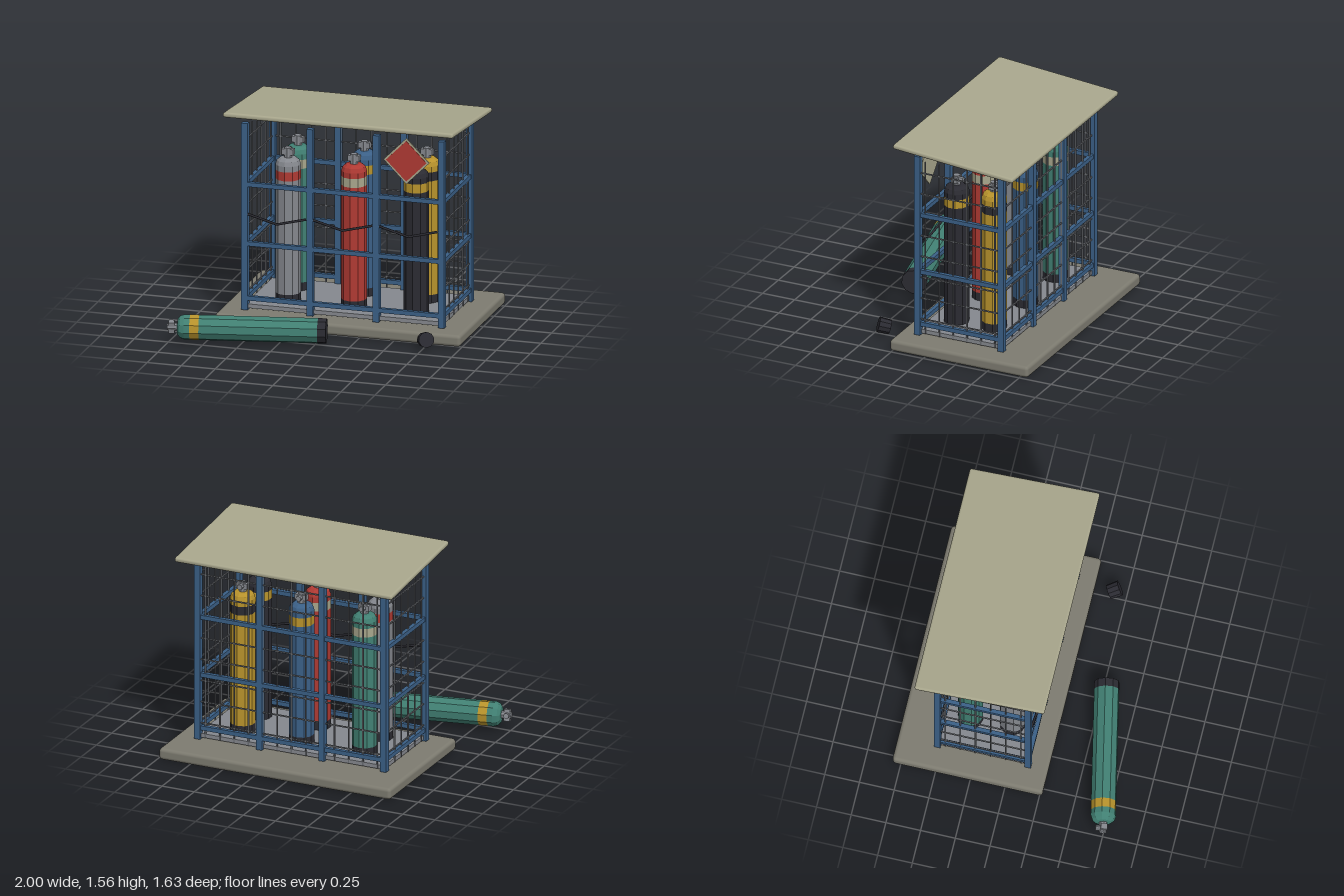
import * as THREE from 'three';
import { RoundedBoxGeometry } from 'three/addons/geometries/RoundedBoxGeometry.js';

const mat = (name, color) => Object.assign(new THREE.MeshStandardMaterial({ color }), { name });

export function createModel() {
  const M = {
    beige: mat('beige paint', 0xa8a68c),
    concrete: mat('concrete', 0x7d7b70),
    blue: mat('blue paint', 0x3b6087),
    steel: mat('steel grey', 0x85888e),
    wire: mat('wire grey', 0x6a6d72),
    green: mat('green paint', 0x418073),
    red: mat('red paint', 0xb03a33),
    black: mat('black', 0x2b2b32),
    yellow: mat('yellow paint', 0xb8932c),
  };
  const root = new THREE.Group();
  root.name = 'gasBottleCage';

  const add = (parent, name, geo, material, x = 0, y = 0, z = 0) => {
    const m = new THREE.Mesh(geo, material);
    m.name = name;
    m.position.set(x, y, z);
    parent.add(m);
    return m;
  };
  const box = (parent, name, material, w, h, d, x, y, z) =>
    add(parent, name, new THREE.BoxGeometry(w, h, d), material, x, y, z);
  const faceted = (geo) => {
    const g = geo.toNonIndexed();
    g.computeVertexNormals();
    return g;
  };

  // Slab, floor plate and sloping roof
  add(root, 'baseSlab', new RoundedBoxGeometry(1.8, 0.085, 1.08, 2, 0.025), M.concrete, 0.09, 0.0425, -0.27);
  box(root, 'floorPlate', M.steel, 1.445, 0.03, 0.655, 0.0925, 0.115, -0.198);
  const roof = add(root, 'roof', new RoundedBoxGeometry(1.69, 0.037, 0.94, 2, 0.016), M.beige, 0.092, 1.505, -0.197);
  roof.rotation.x = -0.09;

  // Cage frame
  const frame = new THREE.Group();
  frame.name = 'cageFrame';
  root.add(frame);
  const postX = [-0.63, -0.15, 0.335, 0.815];
  const zFront = 0.128, zBack = -0.524;
  const midX = 0.0925, midZ = (zFront + zBack) / 2;
  for (const x of postX) {
    box(frame, 'frontPost', M.blue, 0.045, 1.37, 0.045, x, 0.775, zFront);
    box(frame, 'backPost', M.blue, 0.045, 1.36, 0.045, x, 0.77, zBack);
  }
  for (const y of [0.175, 0.575, 1.01]) {
    for (const z of [zFront, zBack]) box(frame, 'longRail', M.blue, 1.445, 0.032, 0.03, midX, y, z);
    for (const x of [postX[0], postX[3]]) box(frame, 'sideRail', M.blue, 0.03, 0.032, 0.652, x, y, midZ);
  }

  // Wire mesh on the back and both sides
  const mesh = new THREE.Group();
  mesh.name = 'wireMesh';
  root.add(mesh);
  const t = 0.009;
  for (let i = 0; i < 13; i++)
    box(mesh, 'backWire', M.wire, t, 1.32, t, -0.63 + (i + 0.5) * 1.445 / 13, 0.76, zBack);
  for (let i = 0; i < 6; i++)
    for (const x of [postX[0], postX[3]])
      box(mesh, 'sideWire', M.wire, t, 1.32, t, x, 0.76, zFront - (i + 0.5) * 0.652 / 6);
  for (let i = 0; i < 8; i++) {
    const y = 0.21 + i * 0.16;
    box(mesh, 'backCrossWire', M.wire, 1.445, t, t, midX, y, zBack);
    for (const x of [postX[0], postX[3]]) box(mesh, 'sideCrossWire', M.wire, t, t, 0.652, x, y, midZ);
  }

  // Gas bottle standing on its own origin, 1.12 tall
  const R = 0.09;
  const bottle = (name, body, band) => {
    const g = new THREE.Group();
    g.name = name;
    const ring = (part, material, pts) =>
      add(g, part, faceted(new THREE.LatheGeometry(pts.map(p => new THREE.Vector2(...p)), 10)), material);
    ring('foot', M.black, [[0, 0], [R, 0], [R, 0.06]]);
    ring('body', body, [[R, 0.06], [R, 0.895]]);
    ring('band', band, [[R, 0.895], [R, 0.96]]);
    ring('shoulder', body, [[R, 0.96], [R, 1.0], [0.08, 1.03], [0.058, 1.047], [0, 1.053]]);
    add(g, 'valveStem', faceted(new THREE.CylinderGeometry(0.027, 0.03, 0.08, 8)), M.steel, 0, 1.08, 0);
    box(g, 'valveBody', M.steel, 0.085, 0.042, 0.045, 0, 1.09, 0);
    const outlet = add(g, 'valveOutlet', faceted(new THREE.CylinderGeometry(0.02, 0.02, 0.055, 8)), M.steel, 0, 1.092, -0.027);
    outlet.rotation.x = Math.PI / 2;
    root.add(g);
    return g;
  };
  const standing = [
    ['greyBottle', M.steel, M.red, -0.37, -0.048],
    ['redBottle', M.red, M.beige, 0.115, -0.043],
    ['blackBottle', M.black, M.yellow, 0.57, -0.05],
    ['greenBottle', M.green, M.beige, -0.39, -0.345],
    ['blueBottle', M.blue, M.yellow, 0.095, -0.355],
    ['yellowBottle', M.yellow, M.black, 0.56, -0.338],
  ];
  for (const [name, body, band, x, z] of standing) bottle(name, body, band).position.set(x, 0.13, z);

  // Bottle lying in front, and a loose valve cap
  const up = new THREE.Vector3(0, 1, 0);
  const lying = bottle('lyingBottle', M.green, M.yellow);
  lying.position.set(0.09, 0.115, 0.522);
  lying.quaternion.setFromUnitVectors(up, new THREE.Vector3(-1.085, 0, 0.23).normalize());
  const cap = add(root, 'looseCap', faceted(new THREE.CylinderGeometry(0.052, 0.056, 0.085, 10)), M.black, 0.78, 0.082, 0.412);
  cap.quaternion.setFromUnitVectors(up, new THREE.Vector3(-0.47, -0.27, -0.85).normalize());

  // Sagging chain across each bay
  for (let i = 0; i < 3; i++) {
    const a = postX[i] + 0.025, b = postX[i + 1] - 0.025, m = (a + b) / 2;
    const path = new THREE.CurvePath();
    const p = [[a, 0.795, 0.145], [m, 0.742, 0.157], [b, 0.795, 0.145]].map(v => new THREE.Vector3(...v));
    path.add(new THREE.LineCurve3(p[0], p[1]));
    path.add(new THREE.LineCurve3(p[1], p[2]));
    add(root, 'chain', new THREE.TubeGeometry(path, 8, 0.009, 6), M.black);
  }

  // Diamond warning sign
  const sign = new THREE.Group();
  sign.name = 'warningSign';
  sign.position.set(0.565, 1.3, 0.165);
  sign.rotation.z = Math.PI / 4;
  root.add(sign);
  box(sign, 'signPlate', M.beige, 0.238, 0.238, 0.009, 0, 0, 0);
  box(sign, 'signFace', M.red, 0.21, 0.21, 0.004, 0, 0, 0.006);

  return root;
}
